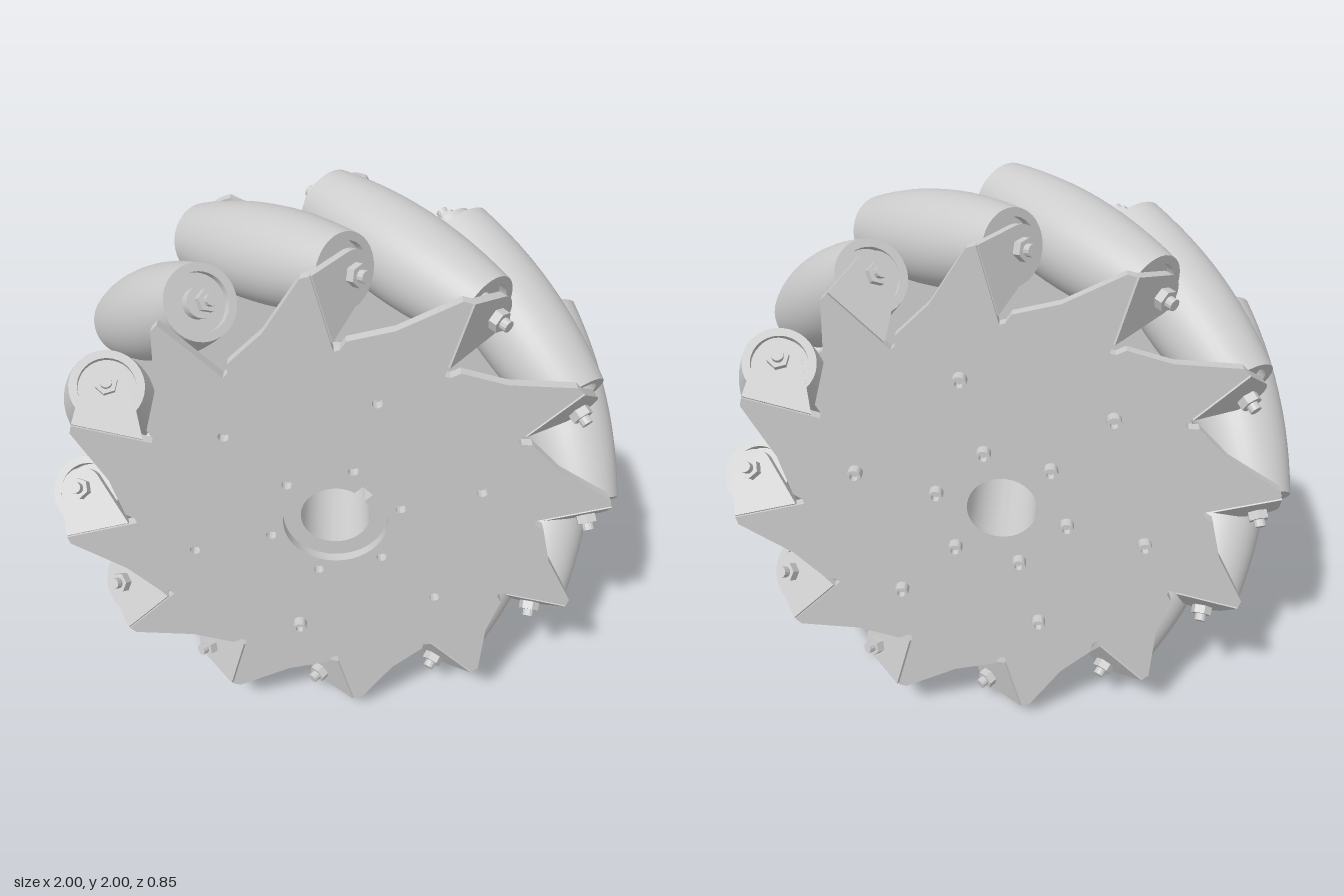
import * as THREE from 'three';
import { toCreasedNormals } from 'three/addons/utils/BufferGeometryUtils.js';

const COUNT = 12, STEP = Math.PI * 2 / COUNT, START = Math.PI / 12;
const AXIS_R = 0.84;                 // distance of roller axes from the hub axis
const HALF = 0.36;                   // half length of a roller
const PLATE_Z = 0.355, PLATE_T = 0.035;
const rad = THREE.MathUtils.degToRad;
const grey = new THREE.MeshStandardMaterial({ color: 0xcccccc, side: THREE.DoubleSide });

function part(name, geometry, parent) {
  const mesh = new THREE.Mesh(toCreasedNormals(geometry, 0.5), grey);
  mesh.name = name;
  parent.add(mesh);
  return mesh;
}

function circleHole(x, y, r) {
  return new THREE.Path().absarc(x, y, r, 0, Math.PI * 2, true);
}

const lathe = (pts, n) => new THREE.LatheGeometry(pts.map(p => new THREE.Vector2(...p)), n);

// Cylinder running along y from y0 to y1
const rod = (r, y0, y1, n) => new THREE.CylinderGeometry(r, r, y1 - y0, n).translate(0, (y0 + y1) / 2, 0);

// Sawtooth side plate, one tooth per roller as [radial, tangential] points
function plateGeometry(bore, drilled) {
  const tooth = [[0.66, -0.19], [0.66, -0.17], [0.92, -0.17], [0.92, -0.14], [0.775, 0.02], [0.70, 0.155]];
  const pts = [];
  for (let i = 0; i < COUNT; i++) {
    for (const [v, u] of tooth) {
      pts.push(new THREE.Vector2(v, u).rotateAround(new THREE.Vector2(), START + i * STEP));
    }
  }
  const shape = new THREE.Shape(pts);
  shape.holes.push(circleHole(0, 0, bore));
  if (drilled) for (const [x, y] of boltSpots()) shape.holes.push(circleHole(x, y, 0.018));
  return new THREE.ExtrudeGeometry(shape, { depth: PLATE_T, bevelEnabled: false, curveSegments: 20 })
    .translate(0, 0, PLATE_Z);
}

// Inner and outer rings of six bolts
function boltSpots() {
  const spots = [];
  for (let i = 0; i < 6; i++) {
    for (const [r, a] of [[0.23, 75], [0.51, 15]]) {
      const t = rad(a + 60 * i);
      spots.push([r * Math.cos(t), r * Math.sin(t)]);
    }
  }
  return spots;
}

// Barrel whose bulge follows the wheel's outer cylinder
function rollerGeometry() {
  const pts = [[0, -HALF + 0.03], [0.095, -HALF + 0.03], [0.095, -HALF]];
  for (let i = 0; i <= 12; i++) {
    const s = HALF * (i / 6 - 1);
    pts.push([1 - Math.sqrt(AXIS_R ** 2 + s * s / 2), s]);
  }
  pts.push([0.095, HALF], [0.095, HALF - 0.03], [0, HALF - 0.03]);
  return lathe(pts, 36);
}

// Tab folded from the plate, narrowing to a round end at the roller bolt
function tabGeometry() {
  const s = new THREE.Shape();
  s.moveTo(-0.15, -0.15);
  s.lineTo(0.08, -0.15);
  s.lineTo(0.075, 0);
  s.absarc(0, 0, 0.075, 0, rad(145), false);
  s.closePath();
  return new THREE.ExtrudeGeometry(s, { depth: 0.03, bevelEnabled: false })
    .translate(0, 0, -0.015).rotateX(Math.PI / 2).translate(0, 0.385, 0);
}

// Socket head bolt, head pointing +z from z = 0
function socketBolt(parent, x, y, z, flip) {
  const g = lathe([[0.025, 0], [0.025, 0.037], [0.014, 0.037], [0.012, 0.015], [0, 0.015]], 16);
  const b = part('plateBolt', g.rotateX(flip ? -Math.PI / 2 : Math.PI / 2), parent);
  b.position.set(x, y, z);
}

export function createModel() {
  const wheel = new THREE.Group();
  wheel.name = 'rollerWheel';
  wheel.position.y = 1;

  // Side plates
  part('frontPlate', plateGeometry(0.18, true), wheel);
  part('backPlate', plateGeometry(0.12, false), wheel).rotation.x = Math.PI;

  // Hub with keyed bore
  const hub = new THREE.Shape().absarc(0, 0, 0.27, 0, Math.PI * 2, false);
  const bore = new THREE.Path();
  bore.absarc(0, 0, 0.12, rad(57), rad(393), false);
  for (const a of [36, 54]) bore.lineTo(0.157 * Math.cos(rad(a)), 0.157 * Math.sin(rad(a)));
  bore.closePath();
  hub.holes.push(bore);
  part('hub', new THREE.ExtrudeGeometry(hub, { depth: PLATE_Z * 2, bevelEnabled: false, curveSegments: 24 })
    .translate(0, 0, -PLATE_Z), wheel);

  // Plate bolts: a full set at the back, a single one at the front
  const edge = PLATE_Z + PLATE_T;
  for (const [x, y] of boltSpots()) socketBolt(wheel, x, y, -edge, true);
  socketBolt(wheel, 0.51 * Math.cos(rad(255)), 0.51 * Math.sin(rad(255)), edge, false);

  // Rollers set at 45 degrees, with tabs and fasteners at both ends
  const rollerGeo = rollerGeometry(), tabGeo = tabGeometry();
  for (let i = 0; i < COUNT; i++) {
    const spoke = new THREE.Group();
    spoke.name = 'rollerStation';
    spoke.rotation.z = START + i * STEP;
    wheel.add(spoke);

    const unit = new THREE.Group();
    unit.name = 'rollerUnit';
    unit.position.x = AXIS_R;
    unit.rotation.x = Math.PI * 0.75;
    spoke.add(unit);
    part('roller', rollerGeo, unit);

    for (const front of [true, false]) {
      const end = new THREE.Group();
      end.name = front ? 'frontMount' : 'backMount';
      end.rotation.x = front ? 0 : Math.PI;
      unit.add(end);
      // One front tab is left off
      if (!(front && i === 4)) part('tab', tabGeo, end);
      part('washer', rod(0.05, 0.32, 0.37, 20), end);
      part('nut', rod(0.037, 0.4, 0.43, 6), end);
      part('boltTip', rod(0.02, 0.33, 0.455, 12), end);
    }
  }

  const model = new THREE.Group();
  model.name = 'model';
  model.add(wheel);
  return model;
}
